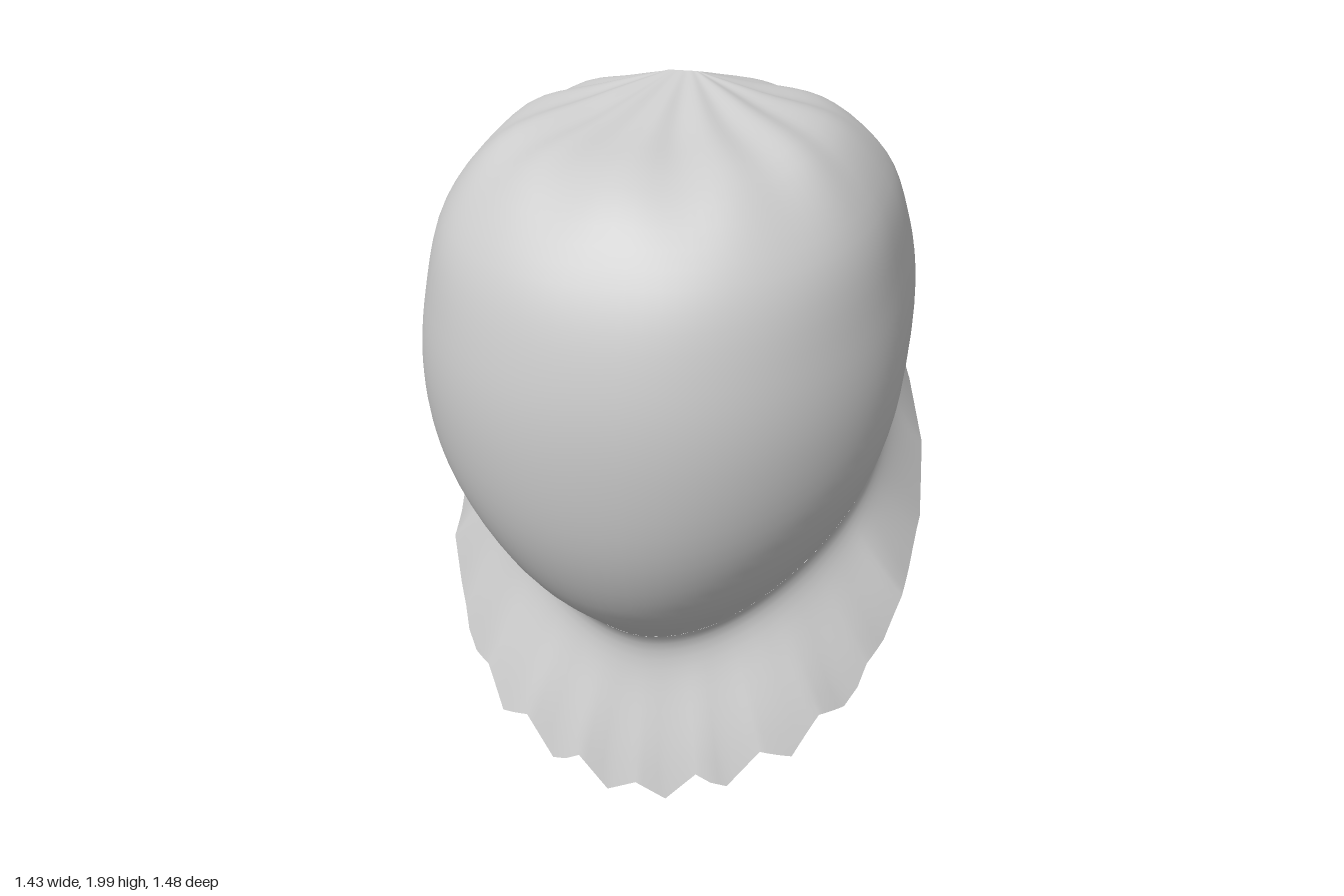
import * as THREE from 'three';

const V = (x, y, z) => new THREE.Vector3(x, y, z);

// Cross-section loops from crown to opening:
// [front z, front y, back z, back y, half width, front exponent, back exponent, side lift]
const RINGS = [
  [-0.11, 2.00, -0.11, 2.00, 0.04, 2, 2, 0],
  [0.20, 1.923, -0.28, 1.955, 0.22, 2, 2, 0.015],
  [0.49, 1.845, -0.45, 1.90, 0.43, 2.2, 2.6, 0.015],
  [0.655, 1.66, -0.65, 1.76, 0.57, 2.3, 2.9, 0.02],
  [0.73, 1.43, -0.73, 1.64, 0.628, 2.25, 3, 0],
  [0.74, 1.20, -0.74, 1.57, 0.652, 2.2, 3, 0],
  [0.69, 0.93, -0.725, 1.52, 0.65, 2.1, 3, 0.03],
  [0.575, 0.71, -0.71, 1.48, 0.63, 2, 2.8, 0.065],
  [0.365, 0.515, -0.69, 1.44, 0.6, 1.9, 2.8, 0.09],
];

// Point on one loop; angle 0 is the front, positive towards +x
function ringPoint(k, angle) {
  const [zf, yf, zb, yb, a, nf, nb, lift] = RINGS[k];
  const s = Math.sin(angle), c = Math.cos(angle);
  const p = 2 / THREE.MathUtils.lerp(nb, nf, THREE.MathUtils.smoothstep(c, -1, 1));
  const u = Math.sign(c) * Math.abs(c) ** p;
  const x = a * Math.sign(s) * Math.abs(s) ** p;
  // faint gathers around the crown
  const pleat = k === 1 || k === 2 ? 0.006 * Math.cos(11 * angle) : 0;
  return V(
    x,
    (yf + yb) / 2 + u * (yf - yb) / 2 + lift * (1 - u * u) * (1 + 0.5 * u) + pleat,
    (zf + zb) / 2 + u * (zf - zb) / 2
  );
}

// Smooth sheet through a grid of points: columns[j][i]
function sheet(columns, closed) {
  const rows = columns[0].length, n = columns.length, index = [];
  for (let j = 0; j < (closed ? n : n - 1); j++) {
    for (let i = 0; i < rows - 1; i++) {
      const a = j * rows + i, d = ((j + 1) % n) * rows + i;
      index.push(a, a + 1, d + 1, a, d + 1, d);
    }
  }
  const g = new THREE.BufferGeometry().setFromPoints(columns.flat());
  g.setIndex(index);
  g.computeVertexNormals();
  return g;
}

// Free edge of the neck flap, from the front centre round to the side
const FLAP_END = 2.17;
const LAST = RINGS.length - 1;
const flapEdge = [
  V(0, 0.055, 0.445), V(0.22, 0.12, 0.425), V(0.44, 0.225, 0.345), V(0.6, 0.345, 0.19),
  V(0.695, 0.55, 0.03), V(0.715, 0.71, -0.18), V(0.695, 0.89, -0.3), V(0.635, 1.04, -0.42),
  ringPoint(LAST, FLAP_END),
];

function edgePoint(v) {
  const k = Math.min(Math.floor(v), flapEdge.length - 2);
  return flapEdge[k].clone().lerp(flapEdge[k + 1], v - k);
}

// How far the pointed teeth hang below the edge
function toothDrop(v) {
  const tooth = 1 - Math.abs(((v / 0.8) % 1) * 2 - 1);
  return 0.075 * tooth * THREE.MathUtils.clamp((5.5 - v) / 4, 0, 1);
}

export function createModel() {
  const group = new THREE.Group();
  group.name = 'hood';
  const cloth = new THREE.MeshStandardMaterial({ color: 0xcccccc, side: THREE.DoubleSide });
  cloth.name = 'light grey cloth';

  // Rounded shell, open underneath
  const shellColumns = [];
  for (let j = 0; j < 96; j++) {
    const angle = (j / 96) * Math.PI * 2;
    const curve = new THREE.CatmullRomCurve3(RINGS.map((_, k) => ringPoint(k, angle)));
    shellColumns.push(curve.getPoints(40));
  }
  const shell = new THREE.Mesh(sheet(shellColumns, true), cloth);
  shell.name = 'shell';

  // Ragged flap, flowing out of the front and sides of the shell
  const flapColumns = [];
  for (let j = 0; j <= 160; j++) {
    const t = j / 80 - 1, v = Math.abs(t) * (flapEdge.length - 1);
    const rim = ringPoint(LAST, t * FLAP_END), edge = edgePoint(v);
    edge.x *= Math.sign(t);
    const ease = Math.min(1, 2 * (1 - Math.abs(t)));
    const inward = rim.clone().sub(ringPoint(LAST - 1, t * FLAP_END)).multiplyScalar(0.4 * ease);
    const middle = rim.clone().lerp(edge, 0.5);
    middle.x *= 1 - 0.05 * ease;
    middle.z *= 1 - 0.07 * ease;
    const curve = new THREE.CubicBezierCurve3(rim, rim.clone().add(inward), middle, edge);
    const column = curve.getPoints(12);
    column.forEach((p, i) => { p.y -= toothDrop(v) * (i / 12) ** 4; });
    flapColumns.push(column);
  }
  const flap = new THREE.Mesh(sheet(flapColumns, false), cloth);
  flap.name = 'neckFlap';

  group.add(shell, flap);
  return group;
}
